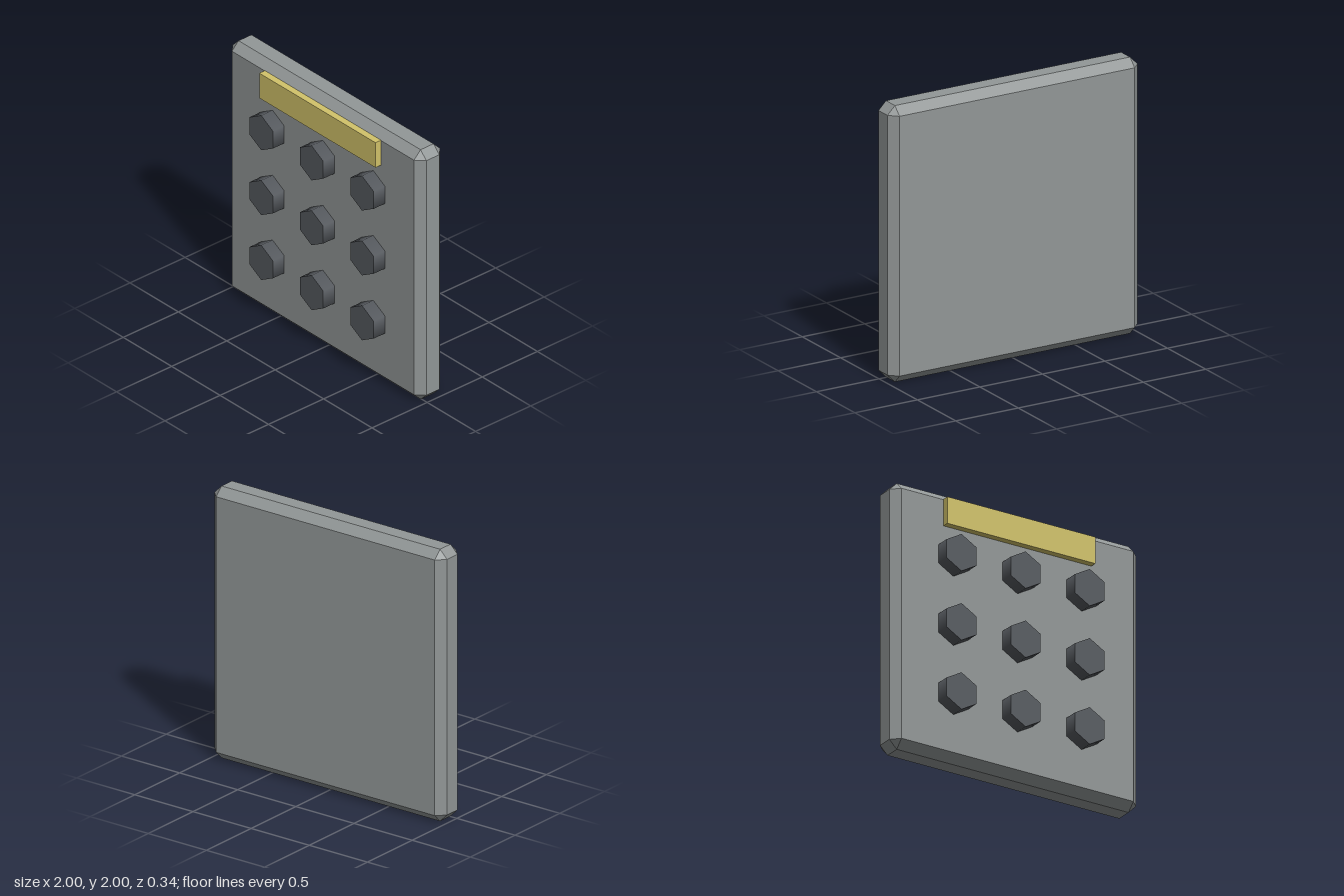
import * as THREE from 'three';
import { ConvexGeometry } from 'three/addons/geometries/ConvexGeometry.js';

const FRONT = 0.067; // z of the slab's front face
const BACK = -0.17;

// Box with chamfered edges and triangular corner cuts, centred on the origin
function chamferedBox(w, h, d, c) {
  const points = [];
  for (const sx of [-1, 1]) for (const sy of [-1, 1]) for (const sz of [-1, 1]) {
    const x = w / 2, y = h / 2, z = d / 2;
    points.push(
      new THREE.Vector3(sx * x, sy * (y - c), sz * (z - c)),
      new THREE.Vector3(sx * (x - c), sy * y, sz * (z - c)),
      new THREE.Vector3(sx * (x - c), sy * (y - c), sz * z));
  }
  return new ConvexGeometry(points);
}

export function createModel() {
  const model = new THREE.Group();
  model.name = 'studdedPanel';

  const material = (name, color) => {
    const m = new THREE.MeshStandardMaterial({ color });
    m.name = name;
    return m;
  };
  const grey = material('panelGrey', 0x929797);
  const dark = material('studDarkGrey', 0x565a5f);
  const yellow = material('barYellow', 0xd2c36a);

  const add = (name, geometry, mat, x, y, z) => {
    const mesh = new THREE.Mesh(geometry, mat);
    mesh.name = name;
    mesh.position.set(x, y, z);
    model.add(mesh);
  };

  // Slab
  add('panel', chamferedBox(2, 2, FRONT - BACK, 0.06), grey, 0, 1, (FRONT + BACK) / 2);

  // Bar along the top of the front face
  add('topBar', new THREE.BoxGeometry(1.2, 0.2, 0.05), yellow, 0, 1.843, FRONT + 0.025);

  // Three by three hexagonal studs, point up
  const stud = new THREE.CylinderGeometry(0.139, 0.139, 0.103, 6).rotateX(Math.PI / 2);
  for (let row = 0; row < 3; row++) {
    for (let col = 0; col < 3; col++) {
      add(`stud${row + 1}${col + 1}`, stud, dark,
        (col - 1) * 0.52, 1.523 - row * 0.52, FRONT + 0.0515);
    }
  }
  return model;
}
